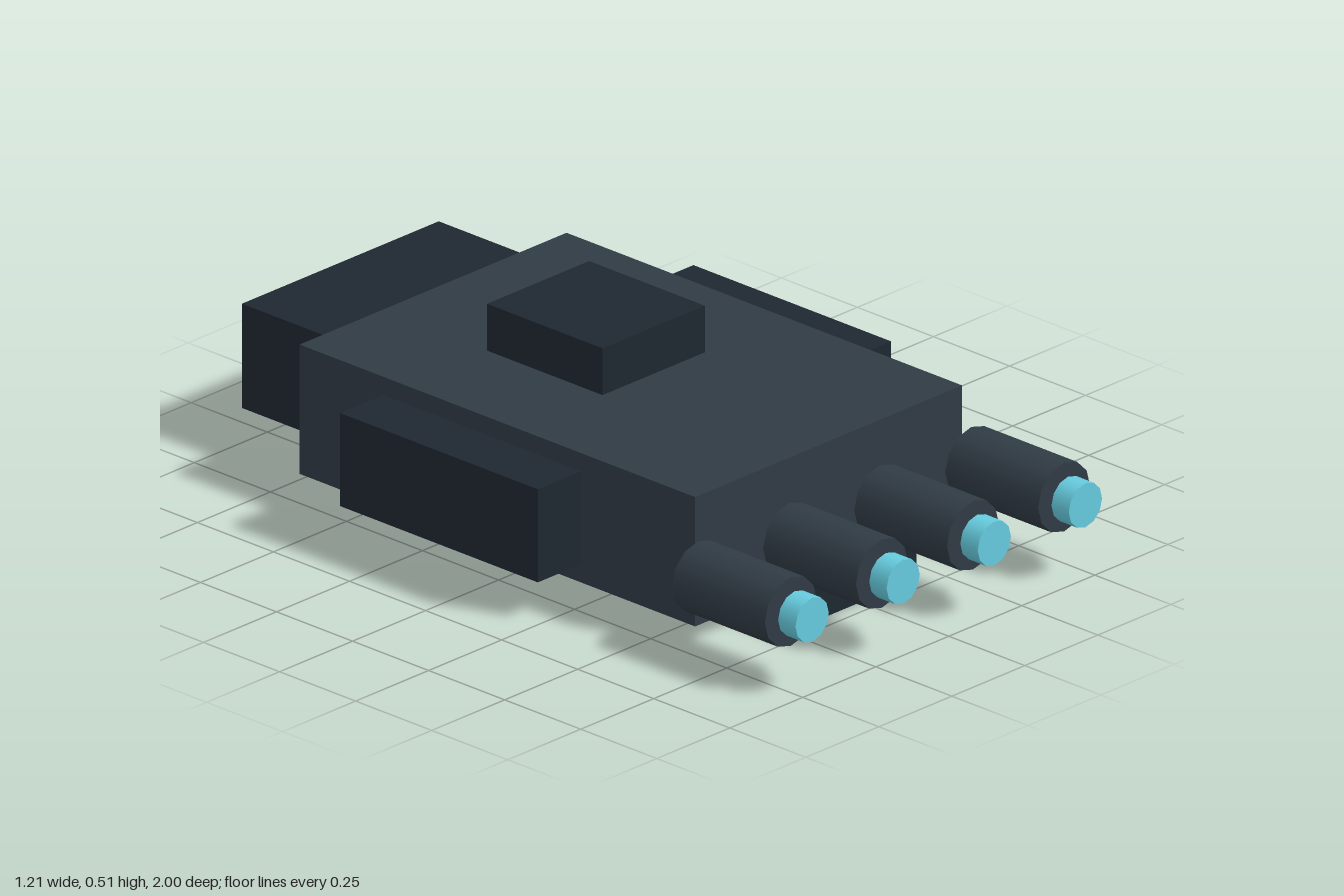
import * as THREE from 'three';

const hull = new THREE.MeshStandardMaterial({ color: 0x303b45 });
const dark = new THREE.MeshStandardMaterial({ color: 0x1e2830 });
const glow = new THREE.MeshStandardMaterial({ color: 0x66ccdf });

// Box given by its [min, max] extents on each axis
function box(name, [x0, x1], [y0, y1], [z0, z1], material) {
  const mesh = new THREE.Mesh(new THREE.BoxGeometry(x1 - x0, y1 - y0, z1 - z0), material);
  mesh.position.set((x0 + x1) / 2, (y0 + y1) / 2, (z0 + z1) / 2);
  mesh.name = name;
  return mesh;
}

// Cylinder lying along z between z0 and z1
function rod(name, radius, z0, z1, material) {
  const geometry = new THREE.CylinderGeometry(radius, radius, z1 - z0, 12).rotateX(Math.PI / 2);
  const mesh = new THREE.Mesh(geometry, material);
  mesh.position.z = (z0 + z1) / 2;
  mesh.name = name;
  return mesh;
}

export function createModel() {
  const model = new THREE.Group();
  model.name = 'blaster';

  // Hull with its top block, rear block and keel
  model.add(
    box('body', [-0.457, 0.457], [0.05, 0.385], [-0.695, 0.605], hull),
    box('topBlock', [-0.175, 0.175], [0.37, 0.506], [-0.35, 0.03], dark),
    box('rearBlock', [-0.337, 0.337], [0.09, 0.36], [-1, -0.68], dark),
    box('keel', [-0.192, 0.192], [0, 0.095], [-0.855, 0.71], dark)
  );

  // Side pods
  model.add(
    box('leftPod', [0.44, 0.605], [0.097, 0.338], [-0.42, 0.23], dark),
    box('rightPod', [-0.605, -0.44], [0.097, 0.338], [-0.42, 0.23], dark)
  );

  // Row of four barrels with glowing tips
  for (let i = 0; i < 4; i++) {
    const barrel = new THREE.Group();
    barrel.name = `barrel${i + 1}`;
    barrel.position.set((i - 1.5) * 0.312, 0.191, 0);
    barrel.add(
      rod('barrelTube', 0.089, 0.625, 0.93, hull),
      rod('barrelTip', 0.057, 0.943, 1, glow)
    );
    model.add(barrel);
  }
  return model;
}
